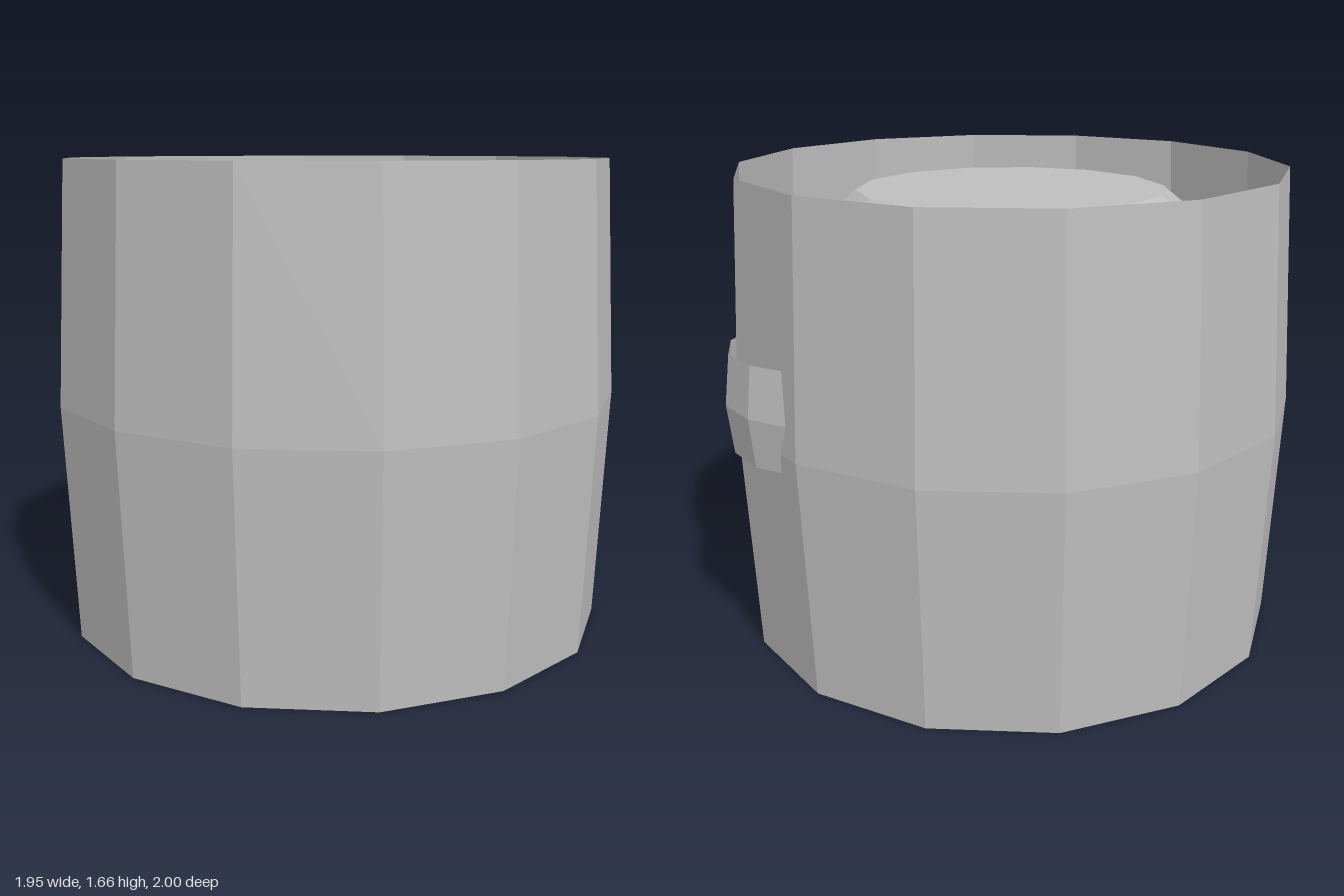
import * as THREE from 'three';

const SIDES = 14;

export function createModel() {
  const model = new THREE.Group();
  const grey = new THREE.MeshStandardMaterial({ color: 0xbfbfbf, side: THREE.DoubleSide, flatShading: true });
  grey.name = 'plain grey';

  const add = (name, geometry) => {
    const mesh = new THREE.Mesh(geometry, grey);
    mesh.name = name;
    model.add(mesh);
    return mesh;
  };

  // Faceted shell turned from a [radius, height] profile
  const turned = (name, profile) =>
    add(name, new THREE.LatheGeometry(profile.map(([r, y]) => new THREE.Vector2(r, y)), SIDES));

  // Bulging outer sleeve, open at both ends
  turned('outerSleeve', [[0.96, 0], [1, 0.83], [0.96, 1.66]]);

  // Inner vessel with sloping shoulders and a flat lid, open below
  const vessel = turned('innerVessel', [[0.84, 0.26], [0.86, 0.74], [0.84, 1.17], [0.74, 1.42], [0.54, 1.58], [0, 1.58]]);
  vessel.rotation.y = THREE.MathUtils.degToRad(9);

  // Open liner inside the vessel
  const liner = turned('innerLiner', [[0.64, 0.79], [0.64, 1.3]]);
  liner.rotation.y = THREE.MathUtils.degToRad(9);

  // Small bulging ring breaking through the sleeve at the back left
  const ring = turned('sideRing', [[0.38, 0.76], [0.4, 0.93], [0.38, 1.105]]);
  ring.position.set(0.46, 0, -0.46);

  // Flat plate inside the small ring
  const outline = [[0.46, 0.7], [0.53, 0.69], [0.58, 0.67], [0.73, 0.67], [0.73, 0.45], [0.46, 0.45]];
  const plate = add('ringPlate', new THREE.ShapeGeometry(new THREE.Shape(outline.map(([x, z]) => new THREE.Vector2(x, z)))));
  plate.rotation.x = -Math.PI / 2;
  plate.position.y = 0.85;

  return model;
}
